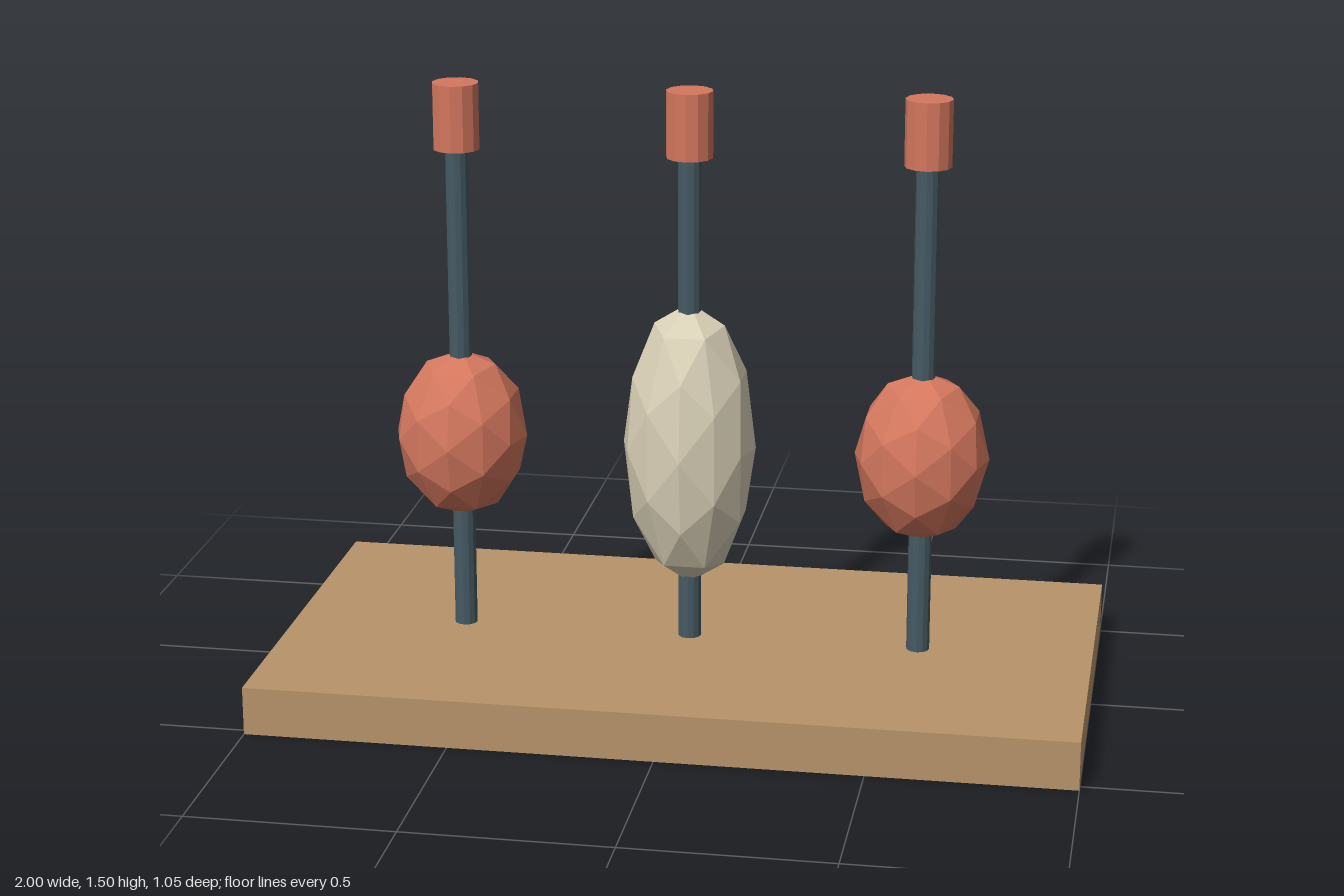
import * as THREE from 'three';

export function createModel() {
  const model = new THREE.Group();
  model.name = 'beadStand';

  const paint = (name, color, flatShading = true) => {
    const m = new THREE.MeshStandardMaterial({ color, flatShading });
    m.name = name;
    return m;
  };
  const wood = paint('wood', 0xb8936a);
  const steel = paint('darkSteel', 0x465a64);
  const coral = paint('coral', 0xd4775e);
  const cream = paint('cream', 0xd8cfb6);

  const add = (parent, name, geometry, material, y) => {
    const mesh = new THREE.Mesh(geometry, material);
    mesh.name = name;
    mesh.position.y = y;
    parent.add(mesh);
    return mesh;
  };

  // Wooden base board
  const baseH = 0.12;
  add(model, 'base', new THREE.BoxGeometry(2, baseH, 1.046), wood, baseH / 2);

  // Three rods, each with a faceted bead and an end cap
  const top = 1.503, capH = 0.163, sides = 12;
  const rodH = top - capH / 2 - baseH;
  const rodGeometry = new THREE.CylinderGeometry(0.0285, 0.0285, rodH, sides);
  const capGeometry = new THREE.CylinderGeometry(0.057, 0.057, capH, sides);
  const beads = [
    { name: 'right', x: -0.571, half: 0.212, material: coral },
    { name: 'middle', x: 0, half: 0.36, material: cream },
    { name: 'left', x: 0.571, half: 0.212, material: coral },
  ];
  for (const { name, x, half, material } of beads) {
    const post = new THREE.Group();
    post.name = name + 'Post';
    post.position.x = x;
    add(post, name + 'Rod', rodGeometry, steel, baseH + rodH / 2);
    add(post, name + 'Cap', capGeometry, coral, top - capH / 2);
    const bead = new THREE.IcosahedronGeometry(1, 1).scale(0.164, half, 0.164);
    add(post, name + 'Bead', bead, material, 0.62);
    model.add(post);
  }
  return model;
}
